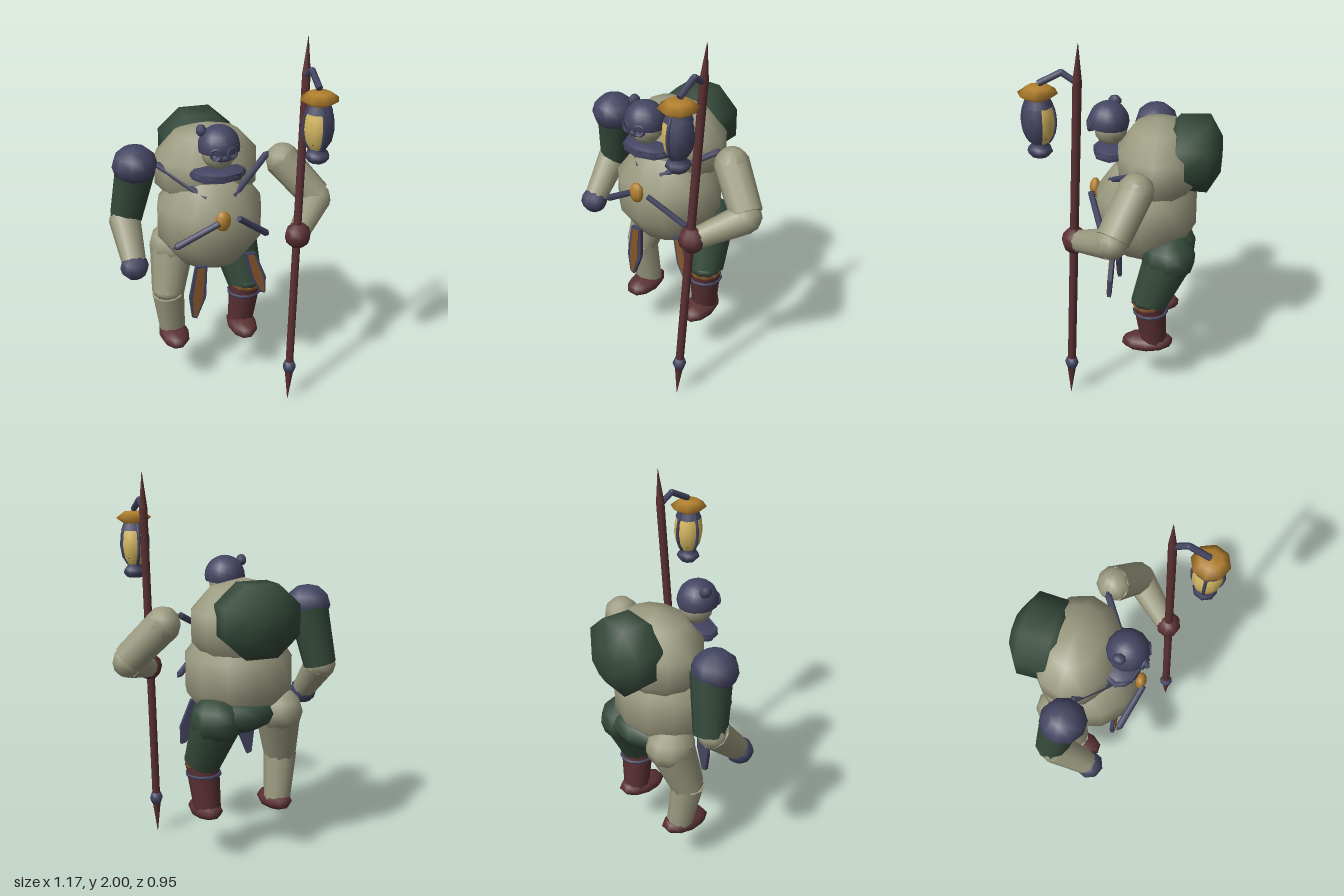
import * as THREE from 'three';

const mat = (name, color, side = THREE.FrontSide) => {
  const m = new THREE.MeshStandardMaterial({ color, side });
  m.name = name;
  return m;
};

export function createModel() {
  const root = new THREE.Group();
  const skin = mat('olive skin', 0x9b9a80);
  const navy = mat('navy metal', 0x444562, THREE.DoubleSide);
  const green = mat('green cloth', 0x34493a);
  const red = mat('dark red leather', 0x5a3033);
  const gold = mat('gold', 0xb17f2e);
  const glow = mat('lantern glass', 0xd6b962, THREE.DoubleSide);
  const brown = mat('brown trim', 0x85562b);
  const V = (p) => new THREE.Vector3(...p);

  const add = (name, geo, material, pos = [0, 0, 0], parent = root) => {
    const m = new THREE.Mesh(geo, material);
    m.name = name;
    m.position.set(...pos);
    parent.add(m);
    return m;
  };
  // Squashed low-poly ball
  const ball = (name, material, pos, r, w = 8, h = 6) => {
    const m = add(name, new THREE.SphereGeometry(1, w, h), material, pos);
    m.scale.set(...r);
    return m;
  };
  // Tapered rod from a to b
  const rod = (name, material, a, b, ra, rb = ra, sides = 8) => {
    const d = V(b).sub(V(a));
    const mid = V(a).add(V(b)).multiplyScalar(0.5);
    const m = add(name, new THREE.CylinderGeometry(rb, ra, d.length(), sides), material, mid.toArray());
    m.quaternion.setFromUnitVectors(new THREE.Vector3(0, 1, 0), d.normalize());
    return m;
  };

  // Torso
  ball('belly', skin, [-0.05, 1.0, -0.085], [0.295, 0.29, 0.28], 12, 5);
  ball('chest', skin, [-0.05, 1.26, -0.15], [0.29, 0.235, 0.23], 12, 5);
  ball('pelvis', green, [0.0, 0.81, -0.21], [0.2, 0.1, 0.15], 10, 6);

  // Hump pack, turned about z
  const packProfile = [[0, 0.16], [0.14, 0.16], [0.21, 0.1], [0.215, -0.05], [0.1, -0.115], [0, -0.12]];
  const pack = add('backPack', new THREE.LatheGeometry(
    packProfile.reverse().map(([r, y]) => new THREE.Vector2(r, y)), 8, Math.PI / 8), green, [-0.05, 1.315, -0.355]);
  pack.rotation.x = Math.PI / 2;
  pack.scale.z = 0.92;

  // Head: hood over the upper part, bare jaw below
  const headPos = [-0.05, 1.465, 0.11];
  const hood = add('hood', new THREE.SphereGeometry(0.106, 14, 8, 0, Math.PI * 2, 0, 1.8), navy, headPos);
  hood.rotation.x = -0.06;
  ball('jaw', skin, [-0.05, 1.43, 0.1], [0.088, 0.088, 0.088], 12, 8);
  ball('hoodBun', navy, [-0.135, 1.545, 0.09], [0.027, 0.03, 0.035], 8, 5);
  for (const s of [-1, 1]) {
    const g = add(s < 0 ? 'goggleRight' : 'goggleLeft', new THREE.TorusGeometry(0.027, 0.008, 6, 10), navy,
      [-0.05 + s * 0.04, 1.455, 0.205]);
    g.rotation.y = s * 0.35;
  }
  const nose = ball('maskNose', navy, [-0.05, 1.43, 0.195], [0.05, 0.018, 0.02], 8, 5);
  nose.rotation.x = 0.2;

  // Collar plate
  const collar = add('collar', new THREE.CylinderGeometry(0.125, 0.125, 0.035, 8, 1), navy, [-0.05, 1.31, 0.09]);
  collar.scale.set(1.1, 1, 0.8);
  ball('collarRim', navy, [-0.05, 1.31, 0.09], [0.148, 0.033, 0.1], 12, 6);

  // Crossed straps and buckle
  const straps = [
    [[-0.32, 1.315, -0.085], [-0.11, 1.175, 0.09]],
    [[0.26, 1.31, -0.085], [0.03, 1.17, 0.09]],
    [[-0.28, 0.95, 0.14], [-0.075, 1.085, 0.205]],
    [[0.205, 0.95, 0.11], [0.03, 1.095, 0.195]],
  ];
  straps.forEach(([a, b], i) => {
    rod('strap' + (i + 1), navy, a, b, 0.018, 0.016, 6);
    const end = V(a).add(V(a).sub(V(b)).setLength(0.02)).toArray();
    rod('strapTip' + (i + 1), navy, a, end, 0.018, 0.004, 6);
  });
  ball('buckle', gold, [-0.05, 1.085, 0.185], [0.042, 0.055, 0.03], 8, 6);

  // Hanging sashes: navy plate with a brown inlay
  const sash = (name, top, bottom, width, tilt) => {
    const dx = bottom[0] - top[0], dy = bottom[1] - top[1];
    const make = (k) => {
      const w = width * k, s = (1 - k) * 0.1;
      const pts = [[-0.7, s], [0.7, s], [1, 0.6], [0.2, 1 - s], [-0.4, 0.97 - s], [-1, 0.6]];
      return new THREE.Shape(pts.map(([u, t]) => new THREE.Vector2(dx * t + u * w, dy * t)));
    };
    const g = new THREE.Group();
    g.name = name;
    g.position.set(...top);
    g.rotation.x = tilt;
    root.add(g);
    add(name + 'Plate', new THREE.ExtrudeGeometry(make(1), { depth: 0.02, bevelEnabled: false }), navy, [0, 0, 0], g);
    add(name + 'Inlay', new THREE.ExtrudeGeometry(make(0.6), { depth: 0.005, bevelEnabled: false }), brown, [0, 0, 0.02], g);
  };
  sash('rightSash', [-0.14, 0.79, 0.07], [-0.175, 0.475, 0.07], 0.045, 0.02);
  sash('leftSash', [0.13, 0.82, 0.055], [0.205, 0.575, 0.055], 0.042, -0.05);

  // Armoured right arm
  ball('pauldron', navy, [-0.437, 1.325, -0.095], [0.118, 0.103, 0.118], 10, 6);
  rod('rightUpperArm', green, [-0.43, 1.31, -0.11], [-0.485, 1.01, -0.155], 0.105, 0.085, 10);
  ball('rightElbow', skin, [-0.495, 1.01, -0.145], [0.08, 0.08, 0.08], 10, 6);
  rod('rightForearm', skin, [-0.495, 1.01, -0.14], [-0.483, 0.83, 0.03], 0.083, 0.062, 10);
  ball('rightFist', navy, [-0.484, 0.815, 0.04], [0.075, 0.07, 0.072], 8, 6);

  // Bare left arm gripping the staff
  ball('leftShoulder', skin, [0.35, 1.27, -0.08], [0.092, 0.092, 0.092], 10, 6);
  rod('leftUpperArm', skin, [0.34, 1.28, -0.085], [0.505, 1.085, 0.01], 0.092, 0.085, 10);
  ball('leftElbow', skin, [0.508, 1.07, 0.015], [0.082, 0.082, 0.082], 10, 6);
  rod('leftForearm', skin, [0.508, 1.065, 0.015], [0.35, 0.98, 0.205], 0.08, 0.056, 10);
  ball('leftFist', red, [0.335, 0.977, 0.228], [0.07, 0.07, 0.065], 8, 6);

  // Legs: bare right, clothed and booted left
  const leg = (side, hip, knee, ankle, thighMat, shinMat, r) => {
    ball(side + 'Hip', thighMat, hip, [r + 0.02, r + 0.01, r + 0.025], 10, 6);
    rod(side + 'Thigh', thighMat, hip, knee, r + 0.015, r - 0.02, 10);
    ball(side + 'Knee', thighMat, [knee[0], knee[1] + 0.02, knee[2]], [r - 0.022, 0.06, r - 0.022], 10, 6);
    rod(side + 'Shin', shinMat, ankle, knee, 0.07, 0.088, 10);
    const foot = ball(side + 'Foot', red, [ankle[0], 0.275, -0.12], [0.083, 0.05, 0.142], 10, 6);
    foot.rotation.x = 0.05;
  };
  leg('right', [-0.23, 0.8, -0.2], [-0.277, 0.54, -0.125], [-0.25, 0.28, -0.155], skin, skin, 0.108);
  leg('left', [0.12, 0.79, -0.225], [0.165, 0.54, -0.13], [0.145, 0.28, -0.155], green, red, 0.118);
  const cuff = rod('bootTrim', brown, [0.163, 0.53, -0.132], [0.165, 0.548, -0.13], 0.092, 0.092, 10);
  cuff.scale.y = 0.8;
  const band = add('bootBand', new THREE.TorusGeometry(0.086, 0.009, 6, 12), navy, [0.16, 0.48, -0.137]);
  band.rotation.x = Math.PI / 2;

  // Staff leaning slightly back toward the top
  const at = (y) => [0.29 + 0.04 * y, y, 0.28 - 0.05 * y];
  rod('staffShaft', red, at(0.18), at(1.82), 0.022, 0.022, 8);
  rod('staffTopSpike', red, at(1.82), at(2), 0.022, 0.001, 8);
  rod('staffBottomSpike', red, at(0.18), at(0), 0.024, 0.001, 8);
  ball('staffKnob', navy, at(0.205), [0.037, 0.042, 0.037], 8, 4);

  // Lantern hook
  const hook = [at(1.81), [0.363, 1.858, 0.262], [0.363, 1.8, 0.37]];
  for (let i = 0; i < 2; i++) rod('lanternHook' + (i + 1), navy, hook[i], hook[i + 1], 0.016, 0.016, 6);
  ball('hookBend', navy, hook[1], [0.016, 0.016, 0.016], 6, 4);

  // Lantern
  const lantern = new THREE.Group();
  lantern.name = 'lantern';
  lantern.position.set(0.363, 0, 0.375);
  root.add(lantern);
  const turn = (name, pts, material, start = 0, sweep = Math.PI * 2, seg = 8) => add(name,
    new THREE.LatheGeometry(pts.map(([r, y]) => new THREE.Vector2(r, y)), seg, start, sweep), material, [0, 0, 0], lantern);
  const body = [[0.042, 1.51], [0.066, 1.55], [0.077, 1.61], [0.072, 1.67], [0.05, 1.73]];
  const shutter = 2.0;
  turn('lanternGlass', body, glow, shutter, Math.PI * 2 - shutter, 8);
  turn('lanternShutter', body, navy, 0, shutter, 4);
  turn('lanternRoof', [[0.045, 1.72], [0.096, 1.755], [0.055, 1.785], [0, 1.79]], gold);
  turn('lanternBase', [[0, 1.435], [0.04, 1.44], [0.062, 1.465], [0.055, 1.485], [0.04, 1.5], [0.044, 1.53], [0.064, 1.545]], navy);
  turn('lanternNeck', [[0.07, 1.69], [0.055, 1.73]], navy);
  // Upright bars over the glass
  for (const a of [0, Math.PI * 1.02, Math.PI * 1.5]) {
    const path = new THREE.CatmullRomCurve3(body.map(([r, y]) =>
      new THREE.Vector3(Math.sin(a) * r, y, Math.cos(a) * r)));
    add('lanternBar', new THREE.TubeGeometry(path, 8, 0.009, 5), navy, [0, 0, 0], lantern);
  }

  return root;
}
